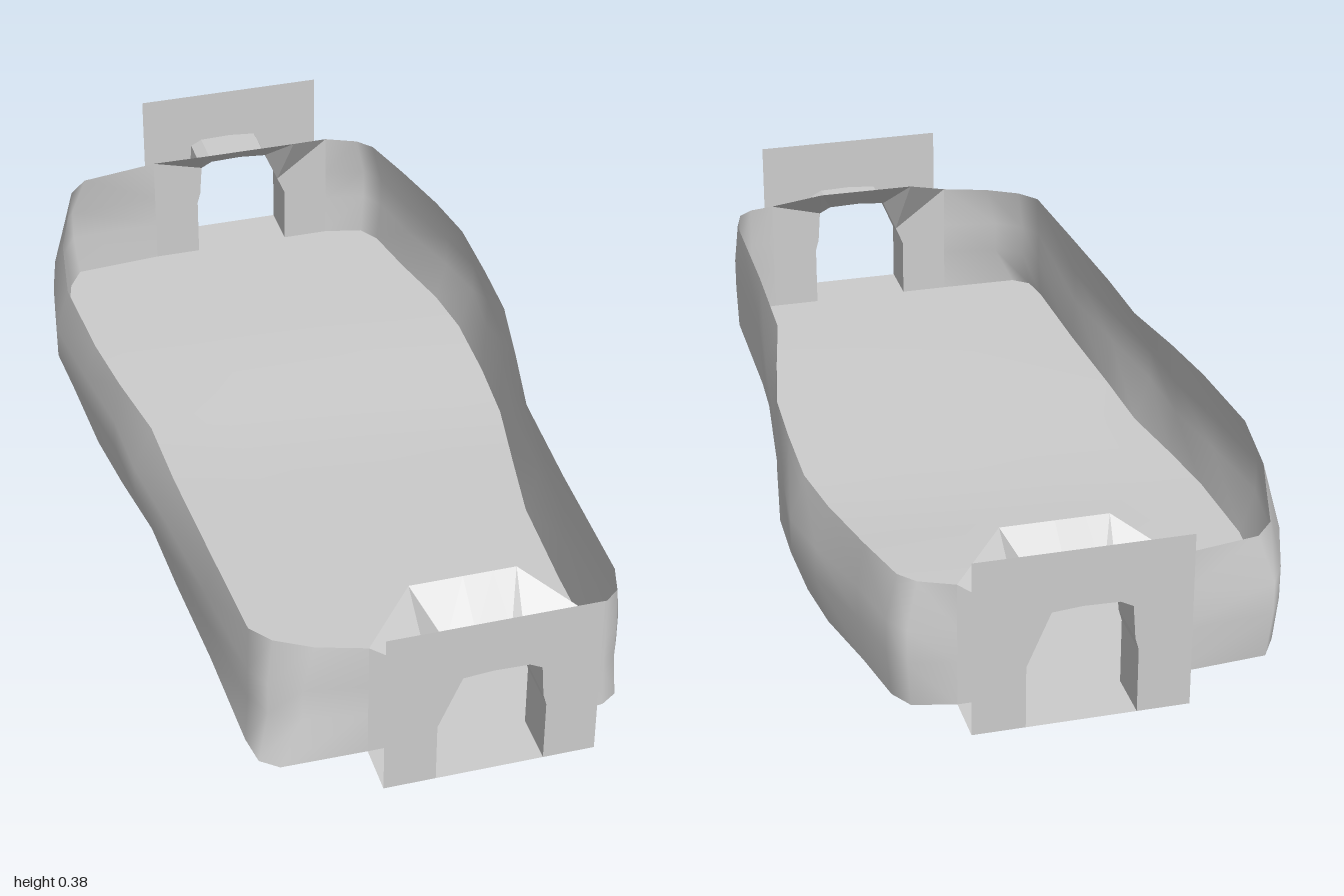
import * as THREE from 'three';

const material = new THREE.MeshStandardMaterial({ color: 0xcccccc, side: THREE.DoubleSide });
const flatMaterial = new THREE.MeshStandardMaterial({ color: 0xcccccc, side: THREE.DoubleSide, flatShading: true });

// Open sheet through rows of [x, y, z] points
function sheet(name, rows, mat = material) {
  const n = rows[0].length, index = [];
  for (let r = 0; r < rows.length - 1; r++)
    for (let i = 0; i < n - 1; i++) {
      const a = r * n + i, b = a + n;
      index.push(a, a + 1, b, a + 1, b + 1, b);
    }
  const geo = new THREE.BufferGeometry();
  geo.setAttribute('position', new THREE.Float32BufferAttribute(rows.flat(2), 3));
  geo.setIndex(index);
  geo.computeVertexNormals();
  const mesh = new THREE.Mesh(geo, mat);
  mesh.name = name;
  return mesh;
}

// Plan of each side, front to back: rim x, z, then bulge x, z, then how far the foot follows the bulge
const leftPlan = [
  [0.267, 0.895, 0.267, 0.895, 0], [0.32, 0.885, 0.325, 0.89, 1], [0.35, 0.86, 0.358, 0.868, 1],
  [0.367, 0.8, 0.373, 0.82, 0.6], [0.37, 0.5, 0.377, 0.5, 0.5], [0.378, 0.25, 0.402, 0.28, 0.3],
  [0.415, 0.07, 0.42, 0.08, 0.5], [0.447, -0.1, 0.452, -0.1, 0.5], [0.453, -0.25, 0.47, -0.27, 0.2],
  [0.455, -0.42, 0.485, -0.42, 0], [0.435, -0.55, 0.46, -0.54, 0.2], [0.4, -0.7, 0.412, -0.7, 0.3],
  [0.365, -0.83, 0.387, -0.83, 0.6], [0.335, -0.865, 0.358, -0.88, 0.7], [0.267, -0.895, 0.267, -0.895, 0],
];
const rightPlan = [
  [-0.153, 0.895, -0.153, 0.895, 0], [-0.25, 0.865, -0.325, 0.893, 1], [-0.32, 0.825, -0.36, 0.865, 1],
  [-0.355, 0.78, -0.37, 0.8, 1], [-0.37, 0.55, -0.383, 0.55, 0.6], [-0.385, 0.3, -0.405, 0.33, 0.3],
  [-0.39, 0.12, -0.43, 0.12, 0.2], [-0.42, -0.05, -0.435, -0.05, 0.3], [-0.44, -0.2, -0.46, -0.22, 0.2],
  [-0.455, -0.42, -0.485, -0.42, 0], [-0.43, -0.6, -0.46, -0.58, 0.2], [-0.4, -0.7, -0.435, -0.69, 0.3],
  [-0.365, -0.82, -0.387, -0.83, 0.6], [-0.325, -0.865, -0.355, -0.885, 0.7], [-0.153, -0.895, -0.153, -0.895, 0],
];

// The floor sags slightly behind the middle, more towards +x
const floorY = (x, z) => {
  const along = Math.max(0, 1 - Math.abs(z + 0.1) / (z > -0.1 ? 0.7 : 0.3));
  return 0.02 - 0.02 * along * THREE.MathUtils.clamp((x + 0.45) / 0.3, 0, 1);
};

const lerp = THREE.MathUtils.lerp;
const foot = ([rx, rz, bx, bz, f]) => {
  const x = lerp(rx, bx, f), z = lerp(rz, bz, f);
  return [x, floorY(x, z), z];
};

// Side wall: foot, two bulging rings and the rim
function wall(name, plan) {
  const bulge = (y) => plan.map(([rx, rz, bx, bz, f]) => {
    const w = f === 1 ? 0.35 : 1; // splayed corners flare only at the foot
    return [lerp(rx, bx, w), y, lerp(rz, bz, w)];
  });
  return sheet(name, [plan.map(foot), bulge(0.115), bulge(0.185), plan.map(([x, z]) => [x, 0.28, z])]);
}

// Doorway arch, and the frame around it on the room side
const arch = [[-0.107, 0.02], [-0.107, 0.15], [-0.09, 0.19], [-0.06, 0.26], [0, 0.265],
  [0.07, 0.263], [0.095, 0.25], [0.1, 0.18], [0.107, 0.155], [0.107, 0.02]];
const surround = [[-0.21, 0.02, 0.895], [-0.21, 0.15, 0.895], [-0.21, 0.28, 0.895], [-0.107, 0.335, 0.805],
  [0, 0.335, 0.805], [0.06, 0.335, 0.805], [0.107, 0.335, 0.805], [0.21, 0.28, 0.895],
  [0.21, 0.15, 0.895], [0.21, 0.02, 0.895]];

function doorway(name) {
  const group = new THREE.Group();
  group.name = name;
  const archAt = (z) => arch.map(([x, y]) => [x, y, z]);
  group.add(sheet('doorSurround', [surround, archAt(0.895)], flatMaterial));
  group.add(sheet('doorPassage', [archAt(0.895), archAt(1)], flatMaterial));
  group.add(sheet('threshold', [0.895, 1].map((z) => [[-0.21, 0.02, z], [0.21, 0.02, z]])));

  // Thin outer panel cut by the arch
  const outline = [[0.21, 0.02], [0.21, 0.385], [-0.21, 0.385], [-0.21, 0.02], ...arch];
  const shape = new THREE.Shape(outline.map(([x, y]) => new THREE.Vector2(x, y)));
  const panel = new THREE.Mesh(new THREE.ShapeGeometry(shape), material);
  panel.name = 'doorPanel';
  panel.position.z = 1;
  group.add(panel);
  group.position.x = 0.057;
  return group;
}

export function createModel() {
  const model = new THREE.Group();
  model.name = 'room';
  model.add(wall('leftWall', leftPlan), wall('rightWall', rightPlan));

  // Floor strips span from one wall foot to the other
  const floorRows = leftPlan.map((p, i) => {
    const a = foot(rightPlan[i]), b = foot(p);
    return [0, 0.33, 0.67, 1].map((t) => {
      const x = lerp(a[0], b[0], t), z = lerp(a[2], b[2], t);
      return [x, floorY(x, z), z];
    });
  });
  model.add(sheet('floor', floorRows));

  // The back doorway is the front one turned round
  const back = doorway('backDoorway');
  back.rotation.y = Math.PI;
  model.add(doorway('frontDoorway'), back);
  return model;
}
